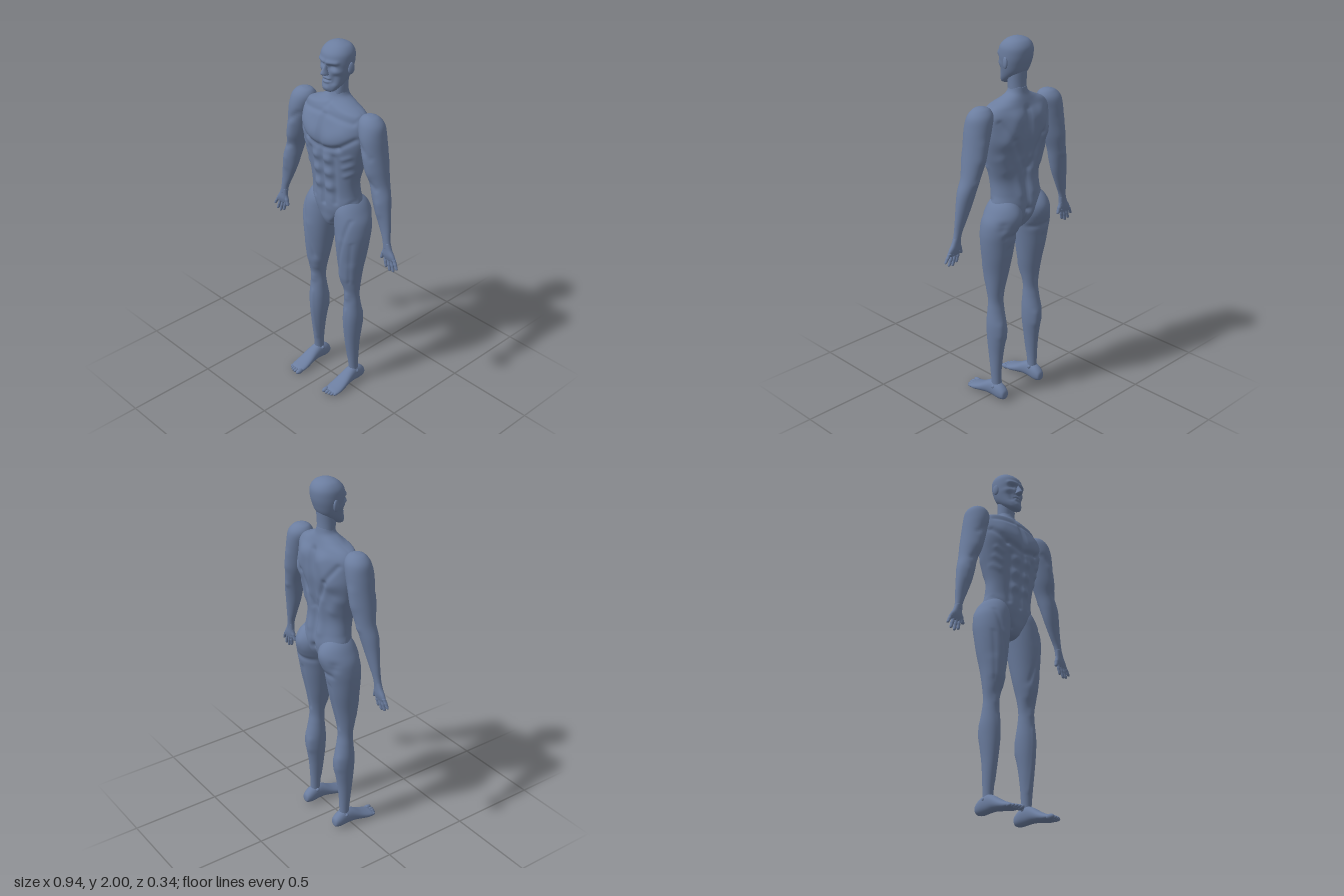
import * as THREE from 'three';

const skin = new THREE.MeshStandardMaterial({ color: 0x6b7d9f });
skin.name = 'slate blue';

// Catmull-Rom through rows of numbers, u in 0..1
function sample(rows, u) {
  const f = u * (rows.length - 1), i = Math.min(Math.floor(f), rows.length - 2), t = f - i;
  const at = k => rows[Math.max(0, Math.min(rows.length - 1, k))];
  return rows[i].map((_, c) => {
    const [a, b, d, e] = [at(i - 1)[c], at(i)[c], at(i + 1)[c], at(i + 2)[c]];
    return b + 0.5 * t * (d - a + t * (2 * a - 5 * b + 4 * d - e + t * (3 * (b - d) + e - a)));
  });
}

// Skin over oval sections [along, centreX, radiusX, high, low].
// Axis y: high/low are front/back z. Axis z: high/low are top/bottom y.
// strokes [x1, y1, x2, y2, width, depth, side] raise or carve muscles on front (1) or back (-1).
function loft(sections, { rows = 24, around = 24, power = 2, axis = 'y', strokes = [] } = {}) {
  const pos = [], idx = [];
  const put = (x, t, b) => (axis === 'y' ? pos.push(x, t, b) : pos.push(x, b, t));
  const tri = (a, b, c) => (axis === 'y' ? idx.push(a, b, c) : idx.push(a, c, b));
  const bend = v => Math.sign(v) * Math.abs(v) ** (2 / power);
  for (let i = 0; i <= rows; i++) {
    const [t, cx, r, hi, lo] = sample(sections, i / rows);
    for (let j = 0; j < around; j++) {
      const a = (j / around) * Math.PI * 2;
      put(cx + r * bend(Math.cos(a)), t, (hi + lo) / 2 + ((hi - lo) / 2) * bend(Math.sin(a)));
    }
  }
  for (let i = 0; i < rows; i++) for (let j = 0; j < around; j++) {
    const k = (j + 1) % around, p = i * around, q = p + around;
    tri(p + j, q + j, p + k);
    tri(p + k, q + j, q + k);
  }
  // end caps
  const first = sections[0], last = sections[sections.length - 1], n = pos.length / 3;
  put(first[1], first[0], (first[3] + first[4]) / 2);
  put(last[1], last[0], (last[3] + last[4]) / 2);
  for (let j = 0; j < around; j++) {
    const k = (j + 1) % around, q = rows * around;
    tri(n, j, k);
    tri(n + 1, q + k, q + j);
  }
  const g = new THREE.BufferGeometry();
  g.setAttribute('position', new THREE.Float32BufferAttribute(pos, 3));
  g.setIndex(idx);
  g.computeVertexNormals();
  if (strokes.length) sculpt(g, strokes);
  return g;
}

function sculpt(g, strokes) {
  const p = g.attributes.position, v = new THREE.Vector3(), n = new THREE.Vector3();
  for (let i = 0; i < p.count; i++) {
    v.fromBufferAttribute(p, i);
    n.fromBufferAttribute(g.attributes.normal, i);
    let d = 0;
    for (const [x1, y1, x2, y2, w, depth, side] of strokes) {
      const dx = x2 - x1, dy = y2 - y1, px = Math.abs(v.x) - x1, py = v.y - y1;
      const t = Math.max(0, Math.min(1, (px * dx + py * dy) / (dx * dx + dy * dy || 1)));
      const dist2 = (px - t * dx) ** 2 + (py - t * dy) ** 2;
      d += depth * Math.exp(-dist2 / (w * w)) * Math.sqrt(Math.max(0, n.z * side));
    }
    v.addScaledVector(n, d);
    p.setXYZ(i, v.x, v.y, v.z);
  }
  g.computeVertexNormals();
}

function mirrored(geometry) {
  const g = geometry.clone().scale(-1, 1, 1), ix = g.index.array;
  for (let i = 0; i < ix.length; i += 3) [ix[i], ix[i + 1]] = [ix[i + 1], ix[i]];
  g.computeVertexNormals();
  return g;
}

export function createModel() {
  const model = new THREE.Group();
  const add = (name, g) => {
    const m = new THREE.Mesh(g, skin);
    m.name = name;
    model.add(m);
  };
  const pair = (name, g) => { add('left ' + name, g); add('right ' + name, mirrored(g)); };

  // torso with chest, abdomen and back muscles
  const abs = [1.41, 1.33, 1.245].map(y => [0.034, y, 0.046, y, 0.024, 0.012, 1]);
  const ribs = [1.45, 1.4, 1.35].map(y => [0.13, y - 0.02, 0.165, y, 0.012, 0.005, 1]);
  add('torso', loft([
    [0.975, 0, 0.012, -0.02, -0.06], [0.99, 0, 0.035, 0.015, -0.085], [1.03, 0, 0.075, 0.038, -0.115],
    [1.08, 0, 0.125, 0.045, -0.14], [1.14, 0, 0.158, 0.048, -0.145], [1.2, 0, 0.15, 0.048, -0.133],
    [1.27, 0, 0.152, 0.054, -0.122], [1.35, 0, 0.172, 0.06, -0.127], [1.43, 0, 0.195, 0.068, -0.138],
    [1.5, 0, 0.21, 0.078, -0.148], [1.56, 0, 0.213, 0.072, -0.147], [1.62, 0, 0.208, 0.055, -0.14],
    [1.66, 0, 0.18, 0.035, -0.125], [1.69, 0, 0.115, 0.01, -0.115], [1.72, 0, 0.06, -0.008, -0.105],
    [1.75, 0, 0.045, -0.015, -0.1],
  ], {
    rows: 130, around: 110, power: 2.15, strokes: [
      [0.07, 1.53, 0.13, 1.56, 0.055, 0.013, 1], [0.02, 1.47, 0.11, 1.49, 0.016, -0.012, 1],
      [0.11, 1.49, 0.19, 1.55, 0.014, -0.009, 1], [0, 1.14, 0, 1.64, 0.011, -0.01, 1],
      [0.02, 1.685, 0.17, 1.66, 0.012, 0.006, 1], [0.03, 1.645, 0.17, 1.63, 0.014, -0.006, 1],
      [0.082, 1.43, 0.075, 1.16, 0.014, -0.006, 1], [0.04, 1.12, 0.04, 1.17, 0.04, 0.005, 1],
      [0.15, 1.17, 0.04, 1.02, 0.012, -0.006, 1], ...abs, ...ribs,
      [0, 1.1, 0, 1.64, 0.018, -0.013, -1], [0.045, 1.2, 0.05, 1.38, 0.028, 0.009, -1],
      [0.08, 1.6, 0.13, 1.5, 0.045, 0.014, -1], [0.02, 1.33, 0.1, 1.5, 0.014, -0.008, -1],
      [0.1, 1.5, 0.17, 1.6, 0.014, -0.007, -1], [0.15, 1.4, 0.12, 1.34, 0.03, 0.008, -1],
      [0, 1.0, 0, 1.1, 0.018, -0.02, -1],
    ],
  }));

  // neck and head
  add('neck', loft([
    [1.66, 0, 0.062, -0.01, -0.115], [1.72, 0, 0.05, -0.014, -0.103], [1.77, 0, 0.048, -0.012, -0.1],
    [1.84, 0, 0.05, -0.01, -0.105],
  ], { strokes: [[0.015, 1.69, 0.045, 1.8, 0.01, 0.004, 1]] }));
  add('head', loft([
    [1.756, 0, 0.02, 0.028, 0.005], [1.765, 0, 0.038, 0.036, -0.015], [1.79, 0, 0.055, 0.038, -0.06],
    [1.825, 0, 0.068, 0.034, -0.1], [1.87, 0, 0.079, 0.033, -0.12], [1.91, 0, 0.084, 0.037, -0.13],
    [1.95, 0, 0.081, 0.03, -0.13], [1.98, 0, 0.062, 0.003, -0.112], [1.995, 0, 0.032, -0.025, -0.082],
    [2, 0, 0.002, -0.05, -0.054],
  ], {
    rows: 80, around: 80, power: 2.15, strokes: [
      [0.01, 1.912, 0.055, 1.914, 0.011, 0.008, 1], [0.03, 1.89, 0.042, 1.89, 0.013, -0.012, 1],
      [0.055, 1.865, 0.06, 1.865, 0.016, 0.006, 1], [0.045, 1.84, 0.04, 1.81, 0.014, -0.006, 1],
      [0, 1.828, 0.018, 1.826, 0.006, 0.006, 1], [0, 1.809, 0.016, 1.811, 0.006, 0.006, 1],
      [0, 1.819, 0.024, 1.818, 0.004, -0.007, 1], [0, 1.778, 0.01, 1.778, 0.014, 0.005, 1],
    ],
  }));
  add('nose', loft([
    [1.842, 0, 0.008, 0.042, 0.02], [1.848, 0, 0.018, 0.058, 0.015], [1.857, 0, 0.017, 0.067, 0.015],
    [1.875, 0, 0.011, 0.058, 0.015], [1.895, 0, 0.008, 0.045, 0.015], [1.91, 0, 0.006, 0.038, 0.015],
  ], { rows: 20 }));
  pair('ear', new THREE.SphereGeometry(1, 20, 14).scale(0.009, 0.031, 0.018).rotateY(-0.3).translate(0.084, 1.878, -0.055));

  // arms
  pair('arm', loft([
    [1.686, 0.235, 0.012, -0.025, -0.055], [1.674, 0.236, 0.045, 0.0, -0.082], [1.64, 0.243, 0.067, 0.022, -0.106],
    [1.58, 0.256, 0.066, 0.034, -0.112], [1.5, 0.271, 0.061, 0.03, -0.108], [1.42, 0.288, 0.056, 0.026, -0.105],
    [1.34, 0.31, 0.048, 0.014, -0.094], [1.27, 0.33, 0.05, 0.014, -0.08], [1.2, 0.346, 0.046, 0.008, -0.065],
    [1.12, 0.367, 0.034, 0, -0.05], [1.06, 0.383, 0.023, -0.002, -0.04], [1.01, 0.393, 0.022, -0.003, -0.034],
  ].reverse(), {
    rows: 70, around: 44, strokes: [
      [0.27, 1.49, 0.29, 1.41, 0.03, 0.007, 1], [0.22, 1.56, 0.3, 1.49, 0.012, -0.005, 1],
      [0.3, 1.35, 0.33, 1.33, 0.014, -0.005, 1], [0.345, 1.25, 0.35, 1.2, 0.02, 0.004, 1],
      [0.28, 1.51, 0.29, 1.44, 0.03, 0.006, -1], [0.31, 1.32, 0.315, 1.32, 0.014, 0.005, -1],
    ],
  }));

  // hands
  pair('palm', loft([
    [0.944, 0.413, 0.034, -0.012, -0.026], [0.952, 0.411, 0.041, -0.008, -0.029], [0.975, 0.404, 0.038, -0.003, -0.033],
    [1.005, 0.395, 0.027, -0.003, -0.034], [1.04, 0.387, 0.021, -0.003, -0.036],
  ], { power: 2.4 }));
  const digit = (x0, y0, x1, y1, r) => loft([0, 0.04, 0.15, 0.4, 0.55, 0.75, 1].map((t, i) => {
    const w = r * [0.15, 0.6, 0.85, 0.9, 1.05, 0.95, 1.1][i], z = -0.014 - 0.005 * t;
    return [y1 + (y0 - y1) * t, x1 + (x0 - x1) * t, w, z + w, z - w];
  }), { around: 12, rows: 18 });
  [[0.381, 0.962, 0.393, 0.897], [0.402, 0.955, 0.42, 0.884], [0.422, 0.955, 0.444, 0.889], [0.44, 0.962, 0.467, 0.911]]
    .forEach((f, i) => pair('finger ' + (i + 1), digit(...f, 0.0095)));
  pair('thumb', digit(0.381, 1.005, 0.359, 0.937, 0.0115));

  // legs with thighs, knees and calves
  pair('leg', loft([
    [0.05, 0.14, 0.027, -0.01, -0.07], [0.1, 0.14, 0.025, -0.012, -0.068], [0.18, 0.139, 0.029, -0.004, -0.07],
    [0.28, 0.136, 0.037, 0.01, -0.079], [0.38, 0.134, 0.047, 0.02, -0.094], [0.46, 0.134, 0.05, 0.021, -0.094],
    [0.54, 0.133, 0.045, 0.013, -0.078], [0.6, 0.132, 0.043, 0.008, -0.07], [0.67, 0.13, 0.051, 0.024, -0.078],
    [0.76, 0.125, 0.065, 0.04, -0.096], [0.86, 0.125, 0.081, 0.05, -0.117], [0.94, 0.124, 0.092, 0.054, -0.13],
    [1.0, 0.121, 0.098, 0.054, -0.142], [1.06, 0.114, 0.098, 0.05, -0.153], [1.11, 0.103, 0.087, 0.042, -0.153],
    [1.15, 0.1, 0.066, 0.025, -0.135], [1.18, 0.1, 0.035, 0, -0.1], [1.195, 0.1, 0.008, -0.03, -0.07],
  ], {
    rows: 120, around: 56, strokes: [
      [0.132, 0.585, 0.132, 0.6, 0.022, 0.008, 1], [0.1, 0.68, 0.095, 0.72, 0.022, 0.006, 1],
      [0.165, 0.72, 0.175, 0.8, 0.022, 0.005, 1], [0.13, 0.72, 0.13, 0.95, 0.03, 0.004, 1],
      [0.095, 0.76, 0.17, 1.08, 0.01, -0.005, 1], [0.16, 0.7, 0.185, 0.95, 0.008, -0.004, 1],
      [0.125, 0.18, 0.13, 0.5, 0.01, 0.003, 1], [0.075, 1.07, 0.09, 1.08, 0.055, 0.013, -1],
      [0.05, 0.985, 0.15, 0.99, 0.016, -0.007, -1], [0.13, 0.65, 0.125, 0.92, 0.012, -0.006, -1],
      [0.115, 0.44, 0.115, 0.38, 0.02, 0.005, -1], [0.155, 0.46, 0.155, 0.4, 0.02, 0.004, -1],
      [0.175, 1.06, 0.175, 1.04, 0.02, -0.008, -1],
    ],
  }));

  // feet
  pair('foot', loft([
    [-0.112, 0.14, 0.008, 0.05, 0.03], [-0.105, 0.14, 0.024, 0.07, 0.016], [-0.075, 0.14, 0.033, 0.094, 0.009],
    [-0.03, 0.141, 0.034, 0.106, 0.012], [0.01, 0.142, 0.037, 0.092, 0.014], [0.06, 0.142, 0.043, 0.062, 0.008],
    [0.1, 0.142, 0.046, 0.043, 0.002], [0.128, 0.142, 0.043, 0.032, 0.003], [0.142, 0.14, 0.036, 0.024, 0.006],
  ], { axis: 'z', rows: 40, around: 36, power: 2.2 }));
  [[0.109, 0.143, 0.0135, 0.026], [0.13, 0.145, 0.0095, 0.024], [0.147, 0.143, 0.009, 0.023],
    [0.163, 0.138, 0.0085, 0.021], [0.177, 0.129, 0.0085, 0.02]].forEach(([x, z, r, len], i) =>
    pair('toe ' + (i + 1), new THREE.SphereGeometry(1, 14, 10).scale(r, r * 1.05, len).translate(x, 0.016, z)));
  [[0.114, 0.086], [0.166, 0.078]].forEach(([x, y], i) =>
    pair('ankle bone ' + (i + 1), new THREE.SphereGeometry(0.011, 12, 10).translate(x, y, -0.042)));

  return model;
}
